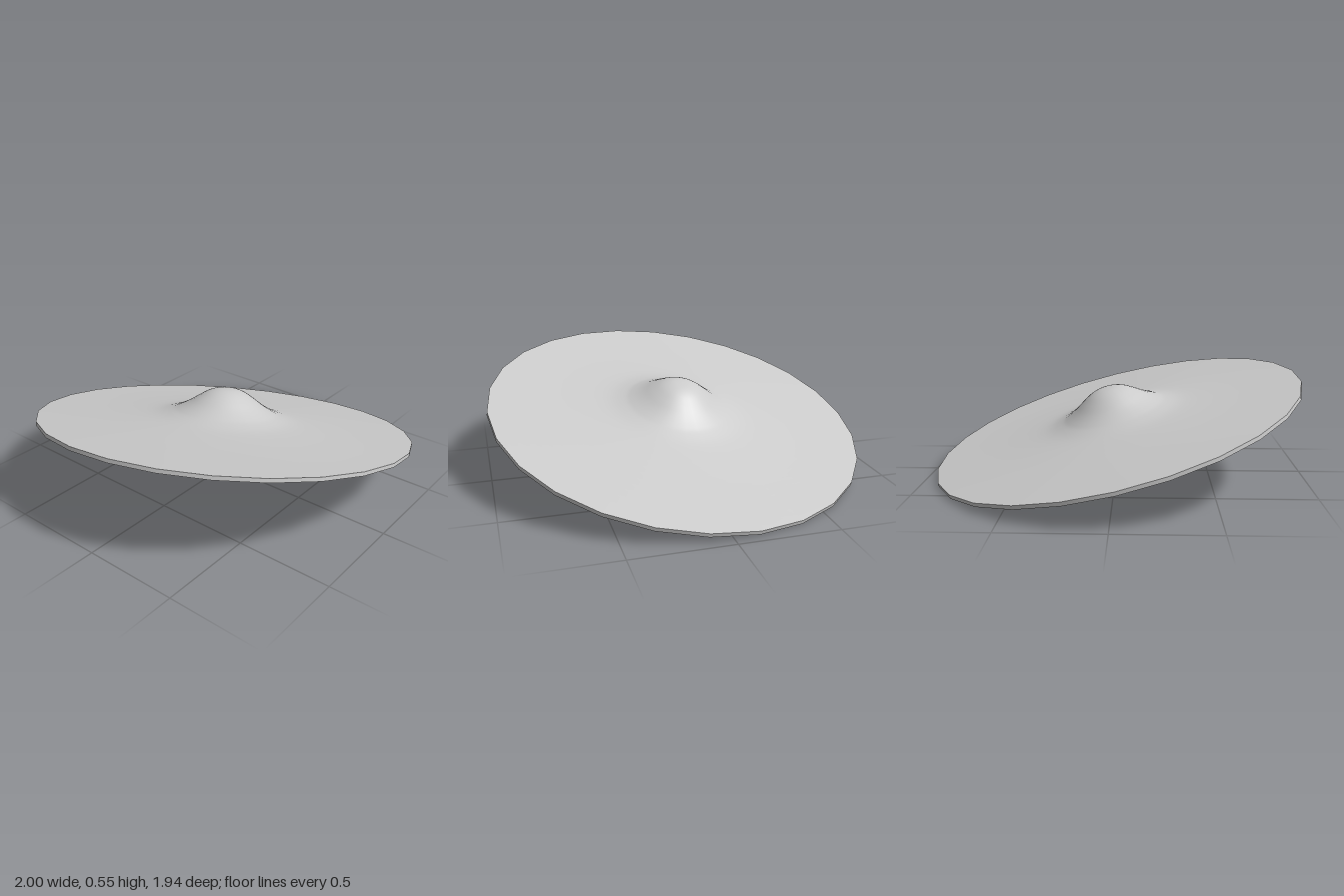
import * as THREE from 'three';

const SIDES = 26;
const THICKNESS = 0.02;

// Radius and height of the upper skin, from the crown out to the rim
const PROFILE = [
  [0, 0.185], [0.05, 0.181], [0.1, 0.164], [0.15, 0.134], [0.2, 0.1], [0.25, 0.072],
  [0.3, 0.052], [0.4, 0.031], [0.6, 0.016], [0.8, 0.007], [1.003, 0],
];

export function createModel() {
  const model = new THREE.Group();
  const disc = new THREE.Group();
  disc.name = 'tiltedDisc';
  const material = new THREE.MeshStandardMaterial({ color: 0xcccccc });

  const curve = new THREE.SplineCurve(PROFILE.map(([r, h]) => new THREE.Vector2(r, h)));
  const skin = (offset) => curve.getPoints(40).map((p) => new THREE.Vector2(Math.max(p.x, 0), p.y + offset));

  const addLathe = (name, points) => {
    const mesh = new THREE.Mesh(new THREE.LatheGeometry(points, SIDES, Math.PI / 2), material);
    mesh.name = name;
    disc.add(mesh);
  };

  // Upper skin, hollow underside and the narrow wall joining them
  const top = skin(THICKNESS / 2);
  const bottom = skin(-THICKNESS / 2);
  addLathe('upperSurface', top.slice().reverse());
  addLathe('underside', bottom);
  addLathe('rimEdge', [bottom.at(-1).clone(), top.at(-1).clone()]);

  // Raised towards the front and the left
  disc.rotation.set(-0.25, 0, 0.104);
  disc.position.y = 0.27;
  model.add(disc);
  return model;
}
